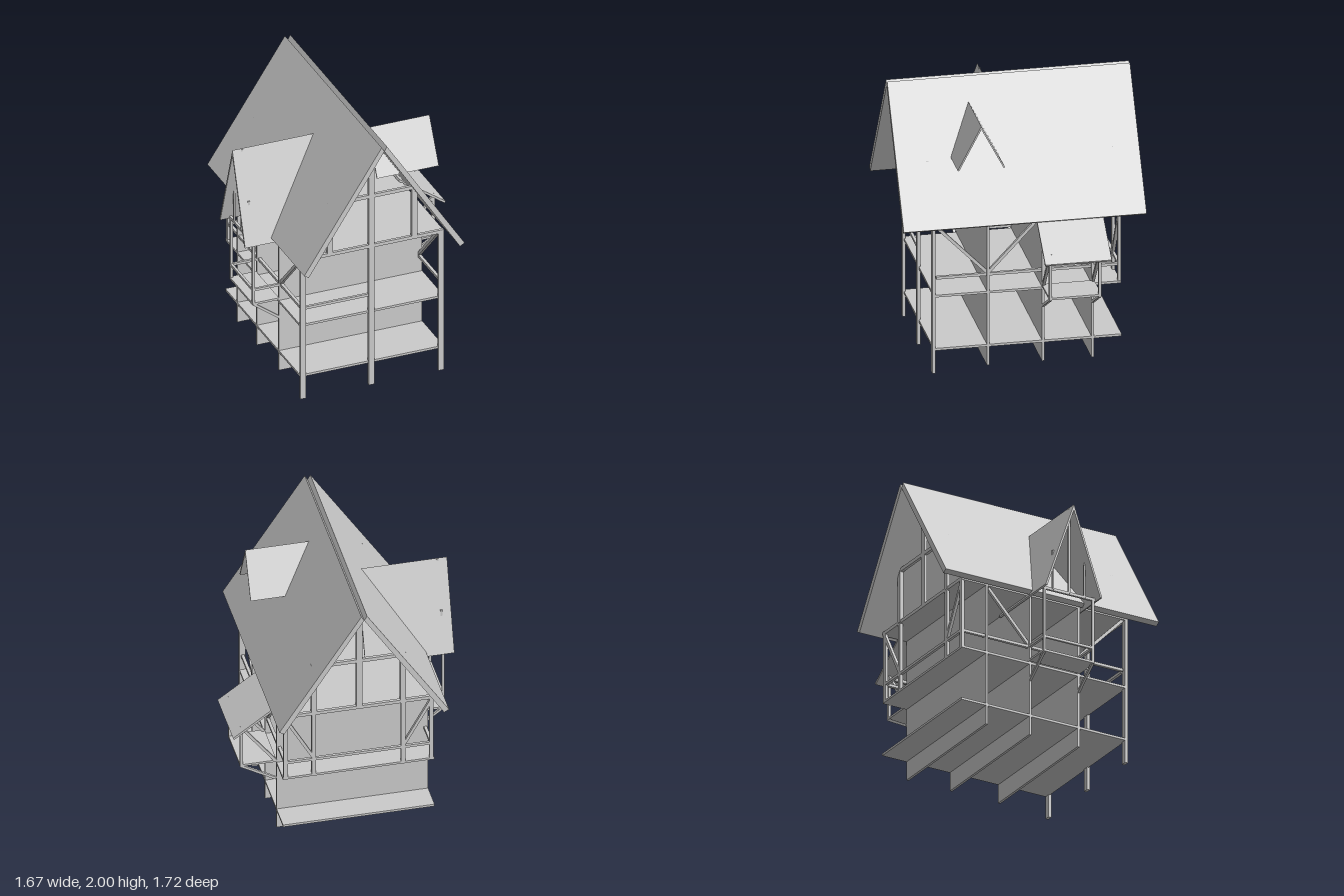
import * as THREE from 'three';

const C = -0.03;            // centre line of the house
const FRONT = 0.635, BACK = -0.68;
const WALLS = [0.25, -0.14, -0.49];

export function createModel() {
  const group = new THREE.Group();
  const mat = new THREE.MeshStandardMaterial({ color: 0xcccccc, flatShading: true });

  function add(geo, name) {
    const m = new THREE.Mesh(geo, mat);
    m.name = name;
    group.add(m);
    return m;
  }
  // box given by its limits on each axis
  function box(name, x0, x1, y0, y1, z0, z1) {
    const m = add(new THREE.BoxGeometry(x1 - x0, y1 - y0, Math.abs(z1 - z0)), name);
    m.position.set((x0 + x1) / 2, (y0 + y1) / 2, (z0 + z1) / 2);
    return m;
  }
  // square timber between two points
  function beam(name, a, b, t = 0.022) {
    const p = new THREE.Vector3(...a), q = new THREE.Vector3(...b);
    const m = add(new THREE.BoxGeometry(t, t, p.distanceTo(q)), name);
    m.position.copy(p).add(q).multiplyScalar(0.5);
    m.lookAt(q);
    return m;
  }
  // upright timber
  function post(name, x, z, y0, y1, w = 0.02, d = w) {
    return box(name, x - w / 2, x + w / 2, y0, y1, z - d / 2, z + d / 2);
  }
  // sloping slab: an outline in the x-y plane, pushed along z
  function slab(name, pts, z0, z1) {
    const s = new THREE.Shape(pts.map(p => new THREE.Vector2(...p)));
    const g = new THREE.ExtrudeGeometry(s, { depth: z1 - z0, bevelEnabled: false });
    g.translate(0, 0, z0);
    return add(g, name);
  }
  // gabled roof whose ridge runs along x
  function crossGable(name, x0, x1, ridgeY, ridgeZ, eaveY, half, t) {
    for (const s of [-1, 1]) {
      const n = new THREE.Vector2(ridgeY - eaveY, half).normalize().multiplyScalar(t);
      const pts = [[0, ridgeY], [s * half, eaveY], [s * (half - n.x), eaveY - n.y],
        [0, ridgeY - t * Math.hypot(half, ridgeY - eaveY) / half]];
      const shape = new THREE.Shape(pts.map(p => new THREE.Vector2(...p)));
      const g = new THREE.ExtrudeGeometry(shape, { depth: x1 - x0, bevelEnabled: false });
      g.rotateY(Math.PI / 2);
      g.translate(x0, 0, ridgeZ);
      add(g, name);
    }
  }

  // cross walls and floors
  for (const z of WALLS) box('crossWall', -0.57, 0.51, 0.03, 1.1, z - 0.009, z + 0.009);
  box('groundFloor', -0.57, 0.51, 0.17, 0.187, -0.695, 0.635);
  box('upperFloor', -0.57, 0.51, 0.57, 0.587, -0.69, 0.635);
  box('atticFloor', -0.57, 0.51, 1.09, 1.108, -0.69, 0.64);

  // main roof
  for (const s of [-1, 1]) {
    slab('mainRoof', [[0, 1.965], [0.02, 2], [0.605, 1.105], [0.57, 1.085]]
      .map(([x, y]) => [C + s * x, y]), -0.86, 0.86);
  }

  // framing that mirrors left to right
  for (const s of [-1, 1]) {
    const x = C + s * 0.52;
    post('frontPost', x, FRONT, 0, 1.1, 0.042, 0.022);
    post('backPost', x, BACK, 0.57, 1.1, 0.03, 0.022);
    for (const z of [FRONT, BACK]) {
      post('gablePost', C + s * 0.318, z, 1.1, 1.515, 0.04, 0.026);
    }
    post('backInnerPost', C + s * 0.318, BACK, 0.57, 1.1, 0.03, 0.022);
    beam('backBrace', [x, 1.08, BACK], [C + s * 0.318, 0.72, BACK]);
    // side rails and braces
    box('sideRail', x - 0.011, x + 0.011, 0.7, 0.72, BACK, 0.615);
    beam('sideBrace', [x, 1.09, 0.61], [x, 0.72, 0.25]);
    beam('sideBrace', [x, 1.08, -0.47], [x, 0.72, -0.14]);
  }
  beam('sideBrace', [C + 0.52, 1.08, -0.09], [C + 0.52, 0.72, 0.25]);

  // front and back gable frames
  post('frontCentrePost', -0.035, FRONT, 0, 1.91, 0.042, 0.022);
  post('backCentrePost', -0.035, BACK, 1.1, 1.91, 0.042, 0.022);
  for (const z of [FRONT, BACK]) {
    box('collarBeam', C - 0.33, C + 0.33, 1.485, 1.512, z - 0.011, z + 0.011);
    box('tieBeam', -0.57, 0.51, 1.09, 1.115, z - 0.011, z + 0.011);
  }
  box('frontRail', -0.53, -0.055, 0.7, 0.72, FRONT - 0.02, FRONT);
  box('backRail', -0.55, 0.49, 0.7, 0.72, BACK - 0.01, BACK + 0.01);

  // right-hand bay with tall gabled roof
  box('gabledBayFloor', -0.77, -0.57, 0.592, 0.608, -0.15, 0.26);
  for (const z of [0.25, -0.14]) {
    post('gabledBayPost', -0.76, z, 0.592, 1.09, 0.018);
    box('gabledBayRail', -0.76, -0.56, 0.7, 0.718, z - 0.009, z + 0.009);
    beam('gabledBayBrace', [-0.755, 0.592, z], [-0.565, 0.45, z], 0.018);
  }
  box('gabledBayRail', -0.769, -0.751, 0.7, 0.718, -0.14, 0.25);
  box('gabledBayTie', -0.769, -0.751, 1.07, 1.09, -0.16, 0.27);
  for (const z of [0.18, -0.075]) post('gabledBayStud', -0.765, z, 1.08, 1.38, 0.014);
  post('gabledBayKingPost', -0.765, 0.055, 1.08, 1.73, 0.014);
  crossGable('gabledBayRoof', -0.835, -0.2, 1.735, 0.055, 1.072, 0.228, 0.014);

  // left-hand bay with lean-to roof
  box('leanToFloor', 0.51, 0.77, 0.592, 0.608, -0.5, -0.13);
  for (const z of [-0.14, -0.49]) {
    post('leanToPost', 0.76, z, 0.592, 0.935, 0.02);
    beam('leanToBrace', [0.76, 0.92, z], [0.515, 0.6, z], 0.02);
    beam('leanToLowerBrace', [0.765, 0.595, z], [0.515, 0.45, z], 0.018);
  }
  box('leanToPlate', 0.75, 0.77, 0.9, 0.92, -0.5, -0.13);
  slab('leanToRoof', [[0.48, 1.122], [0.488, 1.136], [0.835, 0.888], [0.827, 0.874]], -0.56, -0.09);

  // small dormer
  crossGable('dormerRoof', 0.08, 0.545, 1.845, 0.305, 1.525, 0.168, 0.011);

  return group;
}
